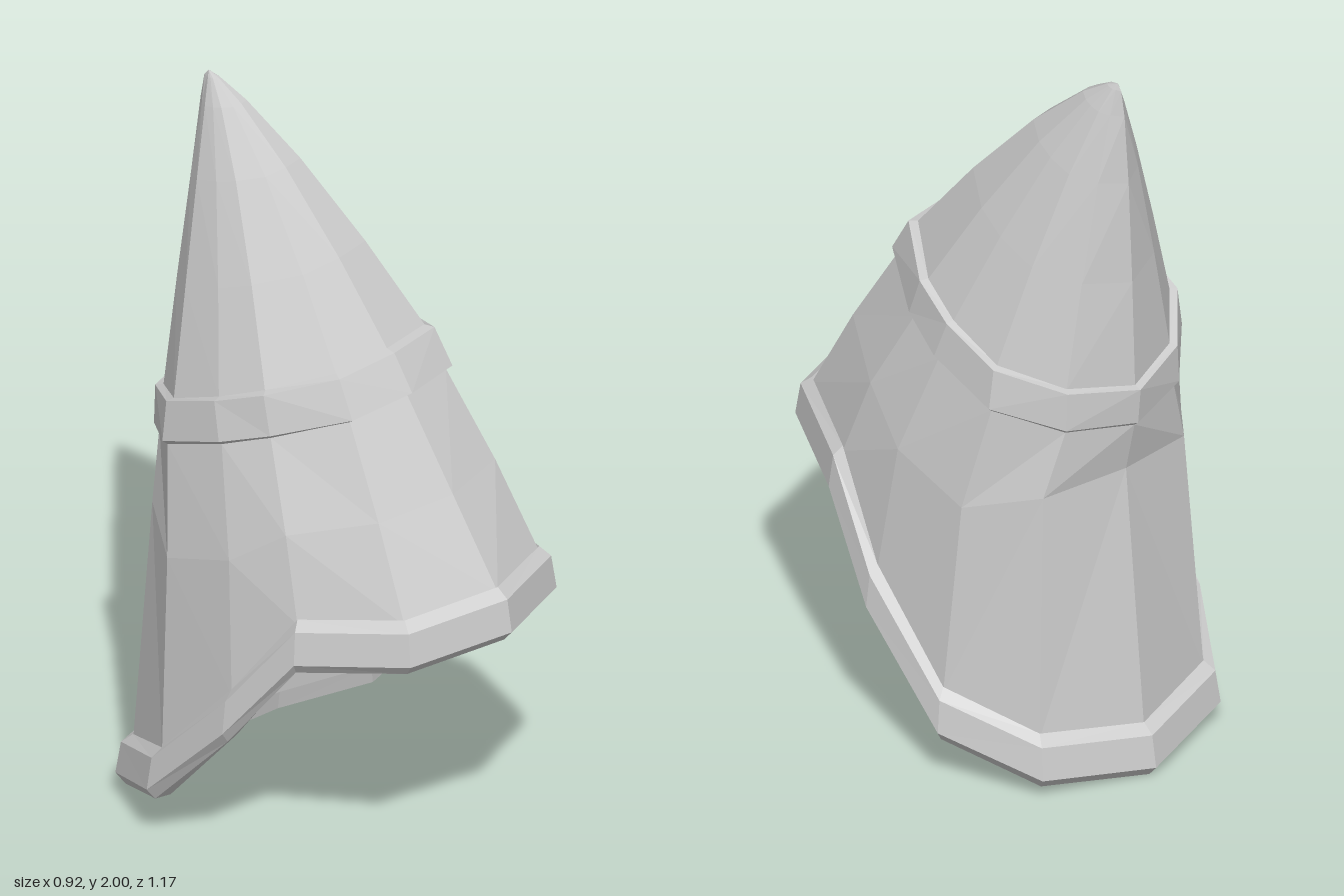
import * as THREE from 'three';

// A half ring runs front -> left side -> back as [x, y, z]; mirror it to a closed ring of 12.
const mirror = (half) => [
  ...half,
  ...half.slice(1, -1).reverse().map(([x, y, z]) => [-x, y, z]),
];

// Skins consecutive rings; wrap joins the last ring back to the first.
function loft(halves, wrap = false) {
  const rings = halves.map(mirror);
  const n = rings[0].length;
  const pos = rings.flat(2);
  const index = [];
  for (let i = 0; i < rings.length - (wrap ? 0 : 1); i++) {
    const k = (i + 1) % rings.length;
    for (let j = 0; j < n; j++) {
      const m = (j + 1) % n;
      const a = i * n + j, b = i * n + m, c = k * n + m, d = k * n + j;
      // Mirror the diagonal too, so both sides fold alike
      if (j < n / 2) index.push(a, b, c, a, c, d);
      else index.push(a, b, d, b, c, d);
    }
  }
  const g = new THREE.BufferGeometry();
  g.setAttribute('position', new THREE.Float32BufferAttribute(pos, 3));
  g.setIndex(index);
  const flat = g.toNonIndexed();
  flat.computeVertexNormals();
  return flat;
}

// Scales a half ring about z = cz and lifts it.
const inset = (half, s, dy = 0, cz = 0) =>
  half.map(([x, y, z]) => [x * s, y + dy, cz + (z - cz) * s]);

// Gives an [x, z] outline the heights of a sloping plane.
const onPlane = (outline, y0, z0, slope) =>
  outline.map(([x, z]) => [x, y0 + (z - z0) * slope, z]);

export function createModel() {
  const group = new THREE.Group();
  const material = new THREE.MeshStandardMaterial({
    color: 0xcccccc, flatShading: true, side: THREE.DoubleSide,
  });
  const add = (name, geometry) => {
    const mesh = new THREE.Mesh(geometry, material);
    mesh.name = name;
    group.add(mesh);
  };

  // Lower outer edge of the hem: high over the face, dropping to the nape
  const hem = [
    [0, 0.73, 0.585], [0.285, 0.71, 0.49], [0.415, 0.67, 0.21], [0.462, 0.42, 0.01],
    [0.45, 0.16, -0.255], [0.30, 0.065, -0.49], [0, 0.03, -0.585],
  ];
  // Middle of the hood body
  const middle = [
    [0, 1.06, 0.387], [0.227, 1.05, 0.333], [0.348, 0.99, 0.125], [0.39, 0.88, -0.03],
    [0.37, 0.80, -0.255], [0.237, 0.85, -0.42], [0, 0.87, -0.468],
  ];
  // Upper and lower outer edges of the brow band
  const bandTop = onPlane([
    [0, 0.19], [0.185, 0.165], [0.29, 0], [0.32, -0.14],
    [0.31, -0.31], [0.185, -0.455], [0, -0.525],
  ], 1.40, 0.19, 0.38);
  const bandBottom = onPlane([
    [0, 0.25], [0.195, 0.217], [0.3, 0.03], [0.337, -0.11],
    [0.325, -0.31], [0.19, -0.455], [0, -0.515],
  ], 1.305, 0.25, 0.365);

  // Hood body: from inside the hem up to the brow band
  const collar = inset(bandBottom, 0.96, -0.012, -0.16);
  const shoulder = inset(bandTop, 0.94, 0, -0.16);
  const body = [inset(hem, 0.92, 0.1), middle, collar, shoulder];

  // Peak: bulging front and back, straighter sides, blunt tip above the back
  const tip = [0, 2, -0.435];
  for (const t of [0.35, 0.68, 0.9, 0.98, 1]) {
    const taper = (power) => Math.pow(1 - t, power);
    body.push(shoulder.map(([x, y, z]) => [
      x * taper(0.83), y + (tip[1] - y) * t,
      tip[2] + (z - tip[2]) * taper(z > tip[2] ? 0.74 : 0.4),
    ]));
  }
  add('hood', loft(body));

  // Lining: straight cone from the inner rim up into the peak
  const innerRim = inset(hem, 0.85, 0.03);
  add('lining', loft([innerRim.map(() => [0, 1.85, -0.38]), innerRim]));

  // Hem trim with bevelled edges
  add('hemTrim', loft([
    inset(hem, 0.955, -0.03),
    hem,
    inset(hem, 0.975, 0.09),
    inset(hem, 0.92, 0.115),
    innerRim,
    inset(hem, 0.875, -0.025),
  ], true));

  // Brow band around the hood
  add('browBand', loft([
    inset(bandBottom, 0.94, -0.018, -0.16),
    bandBottom,
    bandTop,
    inset(bandTop, 0.93, 0.005, -0.16),
  ], true));

  return group;
}
